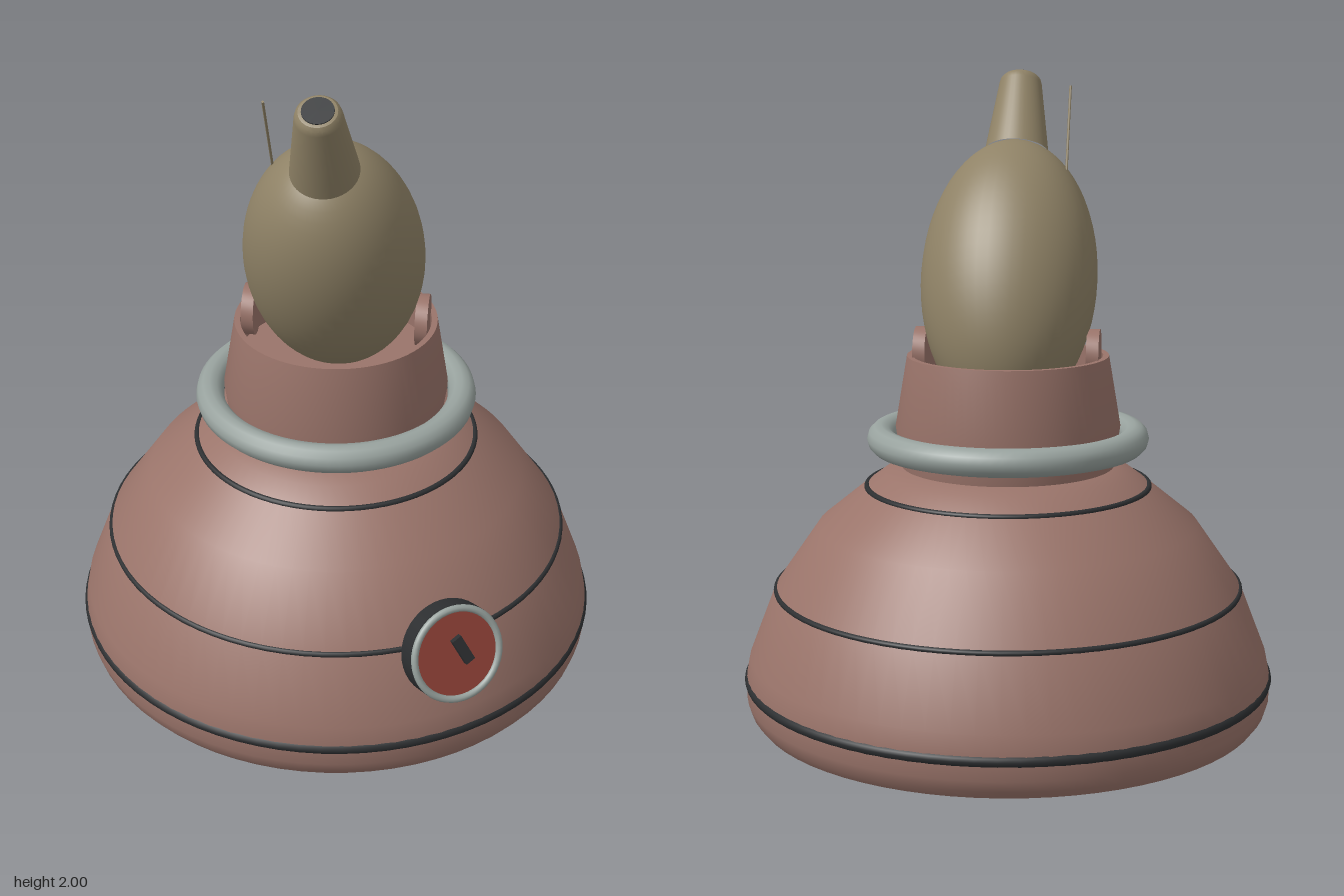
import * as THREE from 'three';
import { toCreasedNormals } from 'three/addons/utils/BufferGeometryUtils.js';

const paint = (name, hex) => {
  const m = new THREE.MeshStandardMaterial({ color: hex });
  m.name = name;
  return m;
};

export function createModel() {
  const shellPink = paint('dusty pink', 0x9a746a);
  const podOlive = paint('olive tan', 0x8f8266);
  const steel = paint('steel grey', 0x98a29e);
  const dark = paint('charcoal', 0x2d2f31);
  const red = paint('brick red', 0x914338);

  const root = new THREE.Group();
  root.name = 'domeTurret';

  const add = (parent, name, geo, mat, pos = [0, 0, 0]) => {
    const mesh = new THREE.Mesh(geo, mat);
    mesh.name = name;
    mesh.position.set(...pos);
    parent.add(mesh);
    return mesh;
  };
  const lathe = (pts, segs = 72) => toCreasedNormals(
    new THREE.LatheGeometry(pts.map(([r, y]) => new THREE.Vector2(r, y)), segs), 0.5);
  const hoop = (name, y, radius, tube, mat) => add(root, name,
    new THREE.TorusGeometry(radius, tube, 12, 80).rotateX(Math.PI / 2), mat, [0, y, 0]);

  // Bell-shaped base
  add(root, 'base', lathe([
    [0, 0], [0.796, 0], [0.815, 0.025], [0.826, 0.06], [0.826, 0.13], [0.814, 0.19],
    [0.733, 0.4], [0.594, 0.6], [0.446, 0.72], [0.385, 0.765], [0.32, 0.79], [0, 0.79],
  ]), shellPink);

  // Neck and hollow collar
  add(root, 'collar', lathe([
    [0.332, 0.78], [0.35, 0.91], [0.313, 1.13], [0.295, 1.13], [0.3, 1.0], [0, 1.0],
  ]), shellPink);

  // Bands around the base and the ring around the neck
  hoop('lowerBand', 0.117, 0.813, 0.02, dark);
  hoop('middleBand', 0.4, 0.728, 0.009, dark);
  hoop('upperBand', 0.72, 0.441, 0.009, dark);
  hoop('neckRing', 0.871, 0.395, 0.044, steel);

  // Side pivots that hold the pod
  for (const side of [-1, 1]) {
    add(root, side > 0 ? 'leftPivot' : 'rightPivot',
      toCreasedNormals(new THREE.CylinderGeometry(0.08, 0.08, 0.038, 32).rotateZ(Math.PI / 2), 0.5),
      shellPink, [side * 0.267, 1.135, -0.012]);
  }

  // Tilted pod with nozzle; local y runs along the nozzle
  const pod = new THREE.Group();
  pod.name = 'pod';
  pod.position.set(0, 1.366, 0.036);
  pod.rotation.x = THREE.MathUtils.degToRad(29);
  root.add(pod);
  add(pod, 'podBody', new THREE.SphereGeometry(1, 48, 32).scale(0.273, 0.453, 0.273), podOlive);
  add(pod, 'nozzle', lathe([
    [0.101, 0.425], [0.068, 0.665], [0.064, 0.68], [0.055, 0.69], [0.046, 0.692], [0, 0.692],
  ], 40), podOlive);
  add(pod, 'nozzleMouth', new THREE.CylinderGeometry(0.046, 0.046, 0.006, 32), dark, [0, 0.692, 0]);
  add(pod, 'antenna', new THREE.CylinderGeometry(0.004, 0.004, 0.3, 8), podOlive, [-0.168, 0.47, -0.078]);

  // Round hatch on the sloping side, facing along local z
  const hatch = new THREE.Group();
  hatch.name = 'hatch';
  hatch.position.set(0.45, 0.418, 0.692);
  hatch.rotation.order = 'YXZ';
  hatch.rotation.y = THREE.MathUtils.degToRad(33);
  hatch.rotation.x = THREE.MathUtils.degToRad(-18);
  root.add(hatch);
  const disc = (r, depth) => toCreasedNormals(
    new THREE.CylinderGeometry(r, r, depth, 40).rotateX(Math.PI / 2), 0.5);
  add(hatch, 'hatchBody', disc(0.15, 0.06), dark, [0, 0, -0.036]);
  add(hatch, 'hatchStem', disc(0.11, 0.1), dark, [0, 0, -0.08]);
  add(hatch, 'hatchFace', disc(0.138, 0.008), red, [0, 0, -0.004]);
  add(hatch, 'hatchRim', new THREE.TorusGeometry(0.139, 0.011, 10, 48), steel);
  const slot = add(hatch, 'hatchSlot', new THREE.BoxGeometry(0.032, 0.088, 0.02), dark, [0.015, 0.012, 0.008]);
  slot.rotation.z = THREE.MathUtils.degToRad(24);

  return root;
}
